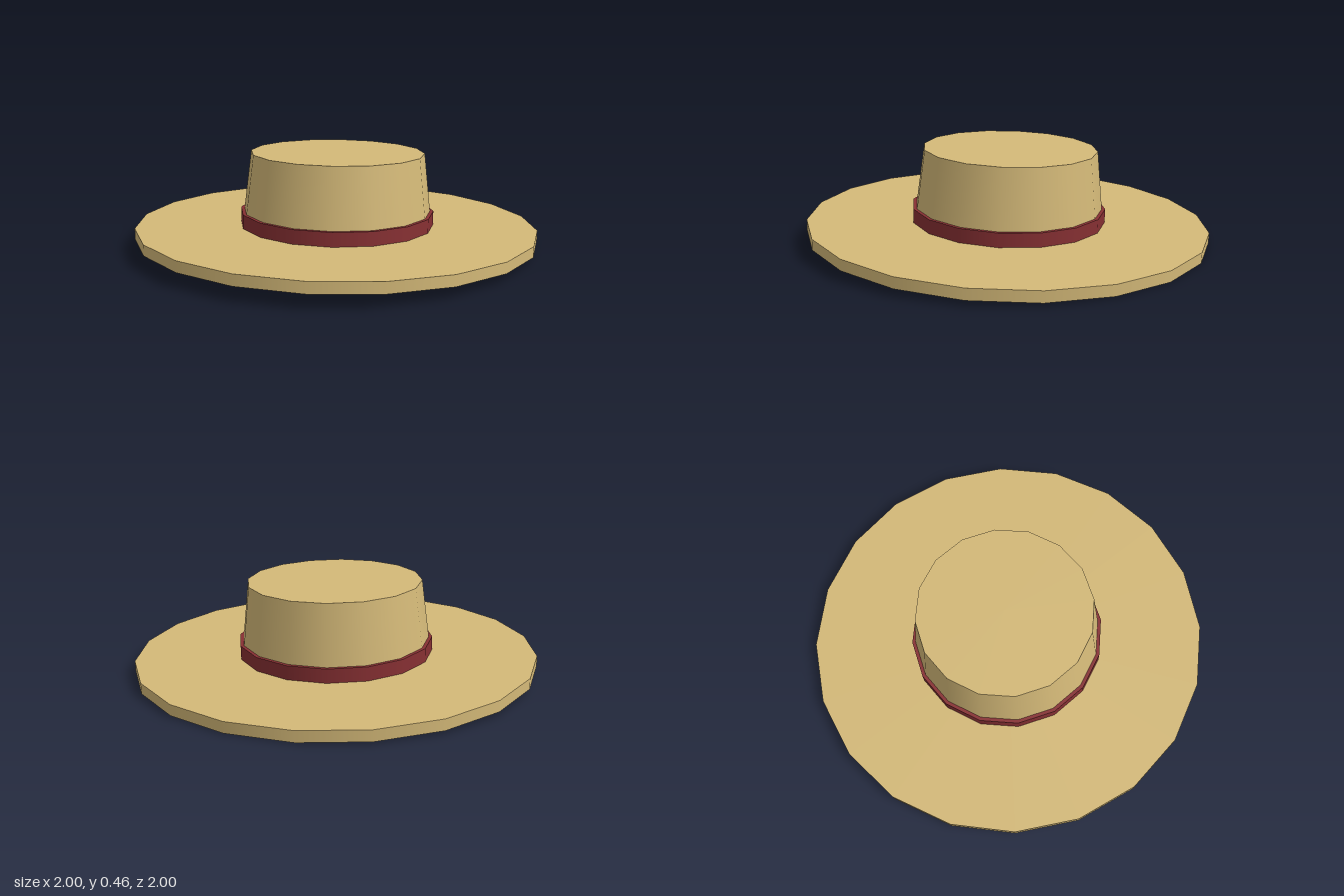
import * as THREE from 'three';

export function createModel() {
  const straw = new THREE.MeshStandardMaterial({ color: 0xd4b978 });
  const ribbon = new THREE.MeshStandardMaterial({ color: 0x873033 });
  const hat = new THREE.Group();
  hat.name = 'hat';

  // A round layer of the hat standing between two heights
  function layer(name, material, topRadius, bottomRadius, y0, y1, sides) {
    const geometry = new THREE.CylinderGeometry(topRadius, bottomRadius, y1 - y0, sides);
    const mesh = new THREE.Mesh(geometry, material);
    mesh.name = name;
    mesh.position.y = (y0 + y1) / 2;
    hat.add(mesh);
  }

  layer('brim', straw, 1, 1, 0, 0.053, 20);
  layer('crown', straw, 0.434, 0.478, 0.053, 0.415, 16);
  layer('band', ribbon, 0.487, 0.487, 0.053, 0.122, 16);

  // The whole hat leans back slightly, resting on the rear of the brim
  const tilt = THREE.MathUtils.degToRad(2);
  hat.rotation.x = -tilt;
  hat.position.y = Math.sin(tilt);

  const model = new THREE.Group();
  model.add(hat);
  return model;
}
